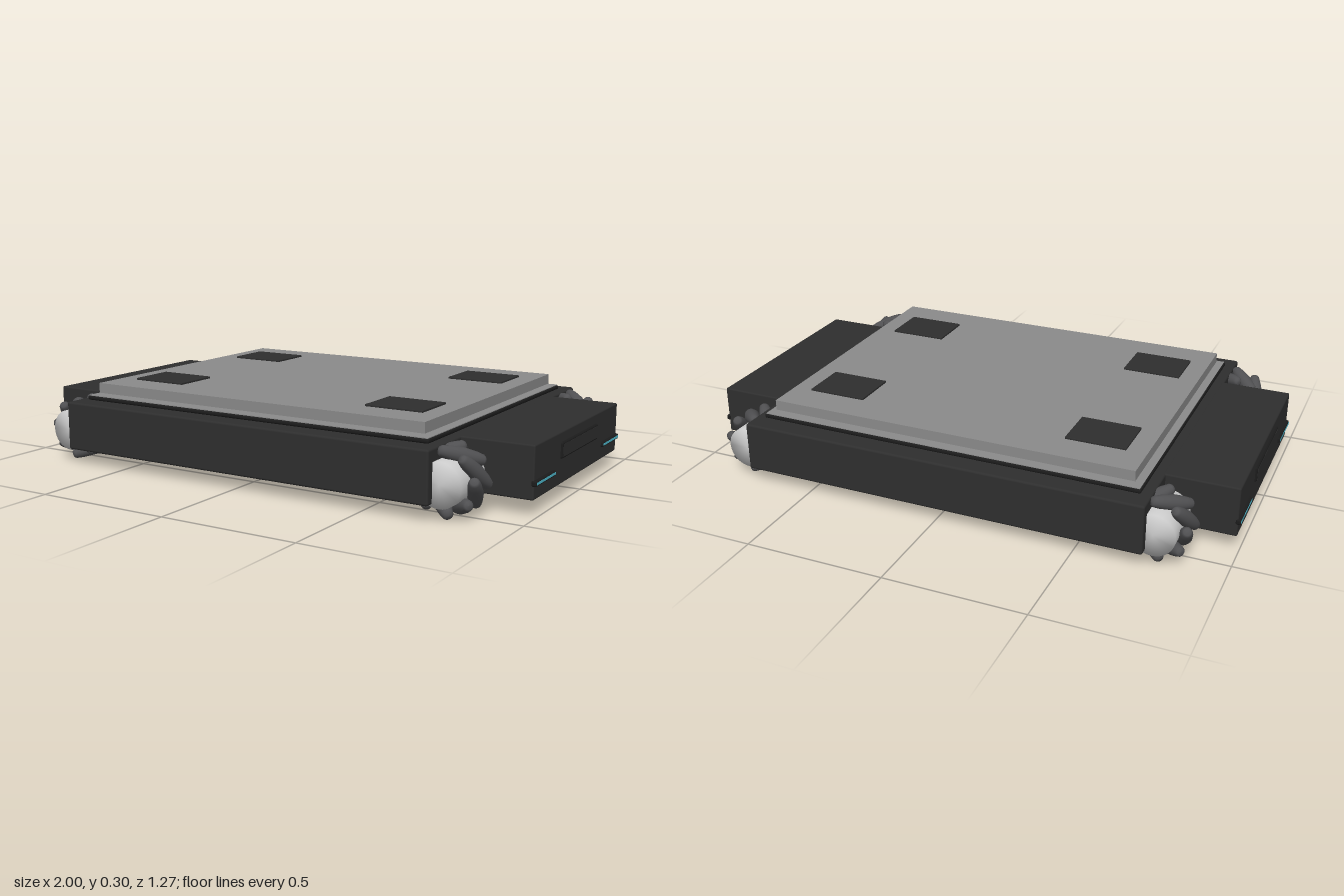
import * as THREE from 'three';
import { mergeVertices } from 'three/addons/utils/BufferGeometryUtils.js';
import { RoundedBoxGeometry } from 'three/addons/geometries/RoundedBoxGeometry.js';

const material = (name, color) => {
  const m = new THREE.MeshStandardMaterial({ color });
  m.name = name;
  return m;
};

export function createModel() {
  const shell = material('charcoal shell', 0x2e2e2e);
  const trim = material('black trim', 0x1c1c1c);
  const deckGrey = material('deck grey', 0x8a8a8a);
  const rubber = material('roller rubber', 0x505052);
  const metal = material('hub metal', 0xcccccc);
  const glow = material('cyan light', 0x4fb8cc);

  const model = new THREE.Group();
  model.name = 'mobilePlatform';

  // Box given by its size and centre, with optional softened edges
  const box = (parent, name, mat, size, pos, radius = 0) => {
    const geo = radius ? new RoundedBoxGeometry(...size, 2, radius) : new THREE.BoxGeometry(...size);
    const mesh = new THREE.Mesh(geo, mat);
    mesh.name = name;
    mesh.position.set(...pos);
    parent.add(mesh);
    return mesh;
  };

  // Chassis and load deck
  box(model, 'chassis', shell, [1.48, 0.178, 1.27], [0, 0.143, 0], 0.008);
  box(model, 'deckBase', trim, [1.41, 0.016, 1.128], [0, 0.24, 0], 0.007);
  box(model, 'deckSheet', deckGrey, [1.4, 0.003, 1.118], [0, 0.2485, 0]);
  box(model, 'deckSlab', deckGrey, [1.35, 0.037, 1.06], [0, 0.2745, 0]);
  for (const x of [-0.495, 0.495]) {
    for (const z of [-0.32, 0.318]) {
      box(model, 'gripPad', shell, [0.216, 0.008, 0.172], [x, 0.296, z], 0.002);
    }
  }

  // End modules with a handle panel and two light bars
  for (const side of [-1, 1]) {
    const end = new THREE.Group();
    end.name = side > 0 ? 'leftEndModule' : 'rightEndModule';
    box(end, 'endHousing', shell, [0.26, 0.178, 0.806], [side * 0.86, 0.143, 0], 0.006);
    box(end, 'handleFrame', trim, [0.016, 0.056, 0.35], [side * 0.989, 0.169, 0], 0.007);
    box(end, 'handlePanel', shell, [0.006, 0.042, 0.336], [side * 0.995, 0.169, 0]);
    for (const z of [-0.32, 0.32]) {
      box(end, 'lightHousing', trim, [0.018, 0.02, 0.172], [side * 0.99, 0.109, z], 0.006);
      box(end, 'lightBar', glow, [0.004, 0.008, 0.162], [side * 0.998, 0.109, z]);
    }
    model.add(end);
  }

  // Barrel-shaped roller turned about its own axis
  const rollerProfile = [
    [0, -0.082], [0.012, -0.08], [0.018, -0.072], [0.023, -0.045], [0.027, 0],
    [0.023, 0.045], [0.018, 0.072], [0.012, 0.08], [0, 0.082],
  ].map(([r, y]) => new THREE.Vector2(r, y));
  const rollerGeo = new THREE.LatheGeometry(rollerProfile, 16);

  // Hub with normals blended over its rim
  let hubGeo = new THREE.CylinderGeometry(0.075, 0.075, 0.18, 32);
  hubGeo.deleteAttribute('normal');
  hubGeo.deleteAttribute('uv');
  hubGeo = mergeVertices(hubGeo);
  hubGeo.computeVertexNormals();
  hubGeo.rotateX(Math.PI / 2);

  // Wheels with slanted rollers, mirrored from corner to corner
  const up = new THREE.Vector3(0, 1, 0);
  const rollerCount = 8;
  for (const sx of [-1, 1]) {
    for (const sz of [-1, 1]) {
      const wheel = new THREE.Group();
      wheel.name = (sz > 0 ? 'front' : 'back') + (sx > 0 ? 'Left' : 'Right') + 'Wheel';
      wheel.position.set(sx * 0.763, 0.118, sz * 0.515);
      const hub = new THREE.Mesh(hubGeo, metal);
      hub.name = 'wheelHub';
      wheel.add(hub);
      for (let i = 0; i < rollerCount; i++) {
        const a = ((i + 0.5) / rollerCount) * Math.PI * 2;
        const roller = new THREE.Mesh(rollerGeo, rubber);
        roller.name = 'roller';
        roller.position.set(Math.cos(a) * 0.087, Math.sin(a) * 0.087, 0);
        const axis = new THREE.Vector3(-Math.sin(a), Math.cos(a), sx * sz).normalize();
        roller.quaternion.setFromUnitVectors(up, axis);
        wheel.add(roller);
      }
      model.add(wheel);
    }
  }
  return model;
}
